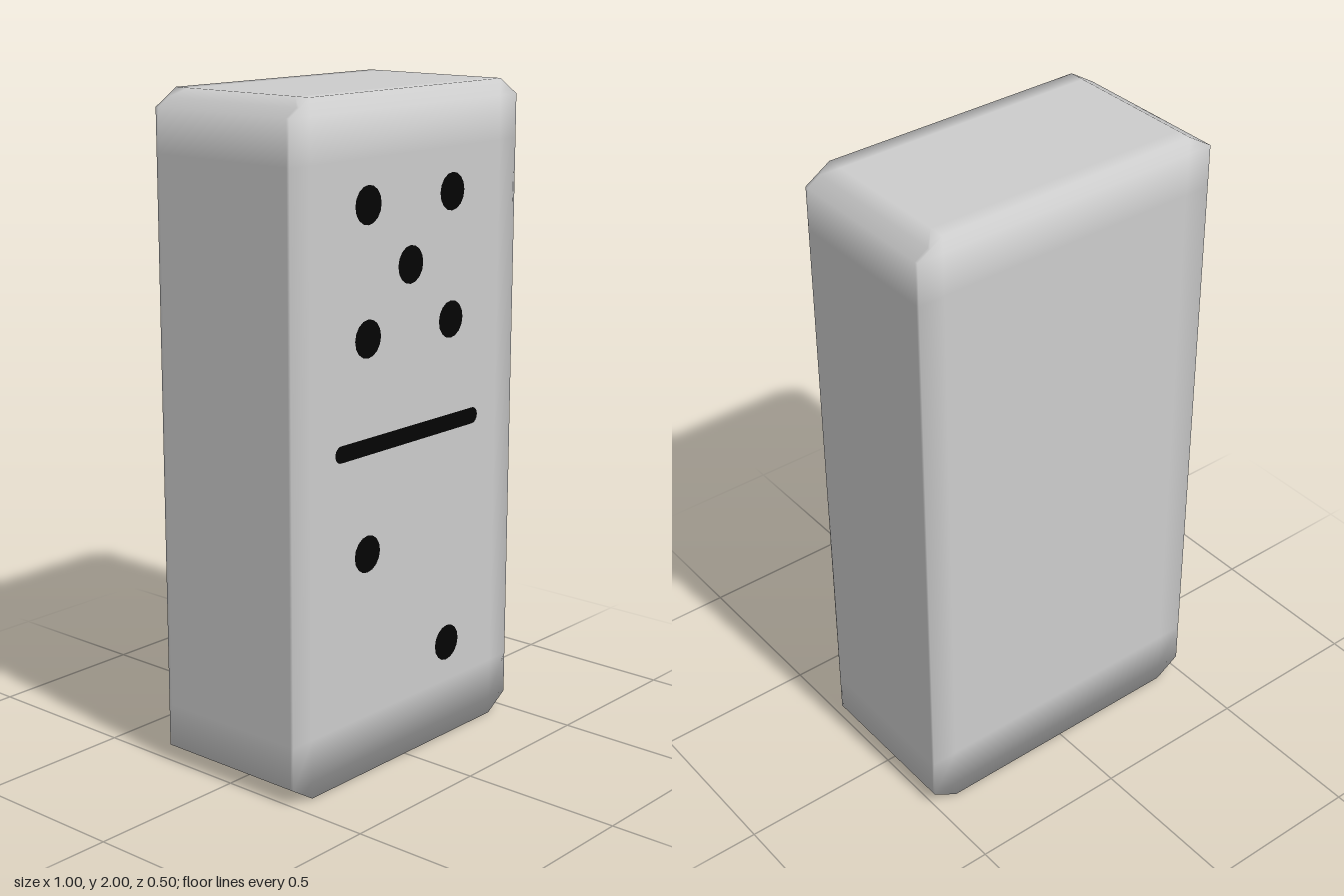
import * as THREE from 'three';

const bone = new THREE.MeshStandardMaterial({ color: 0xcccccc });
bone.name = 'bone';
const ink = new THREE.MeshStandardMaterial({ color: 0x030303 });
ink.name = 'ink';

// Positions of the edge loops along each half axis
const XS = [-0.5, -0.42, 0.42, 0.5];
const YS = [-1, -0.95, -0.82, 0.82, 0.95, 1];
const ZS = [-0.25, -0.2, 0.2, 0.25];

// Slab with clipped corners, and normals that blend softly towards its edges
function slabGeometry() {
  const g = new THREE.BoxGeometry(1, 1, 1, XS.length - 1, YS.length - 1, ZS.length - 1);
  const p = g.attributes.position;
  const n = g.attributes.normal;
  const pick = (list, t) => list[Math.round((t + 0.5) * (list.length - 1))];
  const ramp = (v, from, to) =>
    Math.sign(v) * THREE.MathUtils.clamp((Math.abs(v) - from) / (to - from), 0, 1);
  const normal = new THREE.Vector3();
  for (let i = 0; i < p.count; i++) {
    let x = pick(XS, p.getX(i));
    let y = pick(YS, p.getY(i));
    let z = pick(ZS, p.getZ(i));
    normal.set(ramp(x, 0.42, 0.5), ramp(y, 0.82, 1), ramp(z, 0.2, 0.25)).normalize();
    const sideFace = Math.abs(x) === 0.5;
    // side faces stay flat almost to the rim
    if (sideFace && Math.abs(z) === 0.2) z = Math.sign(z) * 0.24;
    // corners drop onto the middle of the chamfer
    if (sideFace && Math.abs(y) === 1) {
      x = Math.sign(x) * 0.46;
      y = Math.sign(y) * 0.975;
    }
    p.setXYZ(i, x, y + 1, z);
    n.setXYZ(i, normal.x, normal.y, normal.z);
  }
  return g;
}

// Long bar with round ends
function barShape(halfLength, r) {
  const s = new THREE.Shape();
  s.absarc(halfLength - r, 0, r, -Math.PI / 2, Math.PI / 2, false);
  s.absarc(r - halfLength, 0, r, Math.PI / 2, Math.PI * 1.5, false);
  s.closePath();
  return s;
}

export function createModel() {
  const model = new THREE.Group();
  model.name = 'dominoTile';

  const add = (name, geometry, material, x = 0, y = 0, z = 0) => {
    const mesh = new THREE.Mesh(geometry, material);
    mesh.name = name;
    mesh.position.set(x, y, z);
    model.add(mesh);
  };

  add('tileBody', slabGeometry(), bone);

  // Markings lie just proud of the front face
  const front = 0.252;
  add('dividerBar', new THREE.ShapeGeometry(barShape(0.325, 0.025), 6), ink, 0.005, 1, front);

  const pip = new THREE.CircleGeometry(0.056, 16);
  const upper = [[-0.18, 1.69], [0.195, 1.69], [0.007, 1.5], [-0.18, 1.313], [0.195, 1.313]];
  const lower = [[-0.18, 0.68], [0.195, 0.303]];
  upper.forEach(([x, y], i) => add(`upperPip${i + 1}`, pip, ink, x, y, front));
  lower.forEach(([x, y], i) => add(`lowerPip${i + 1}`, pip, ink, x, y, front));

  return model;
}
